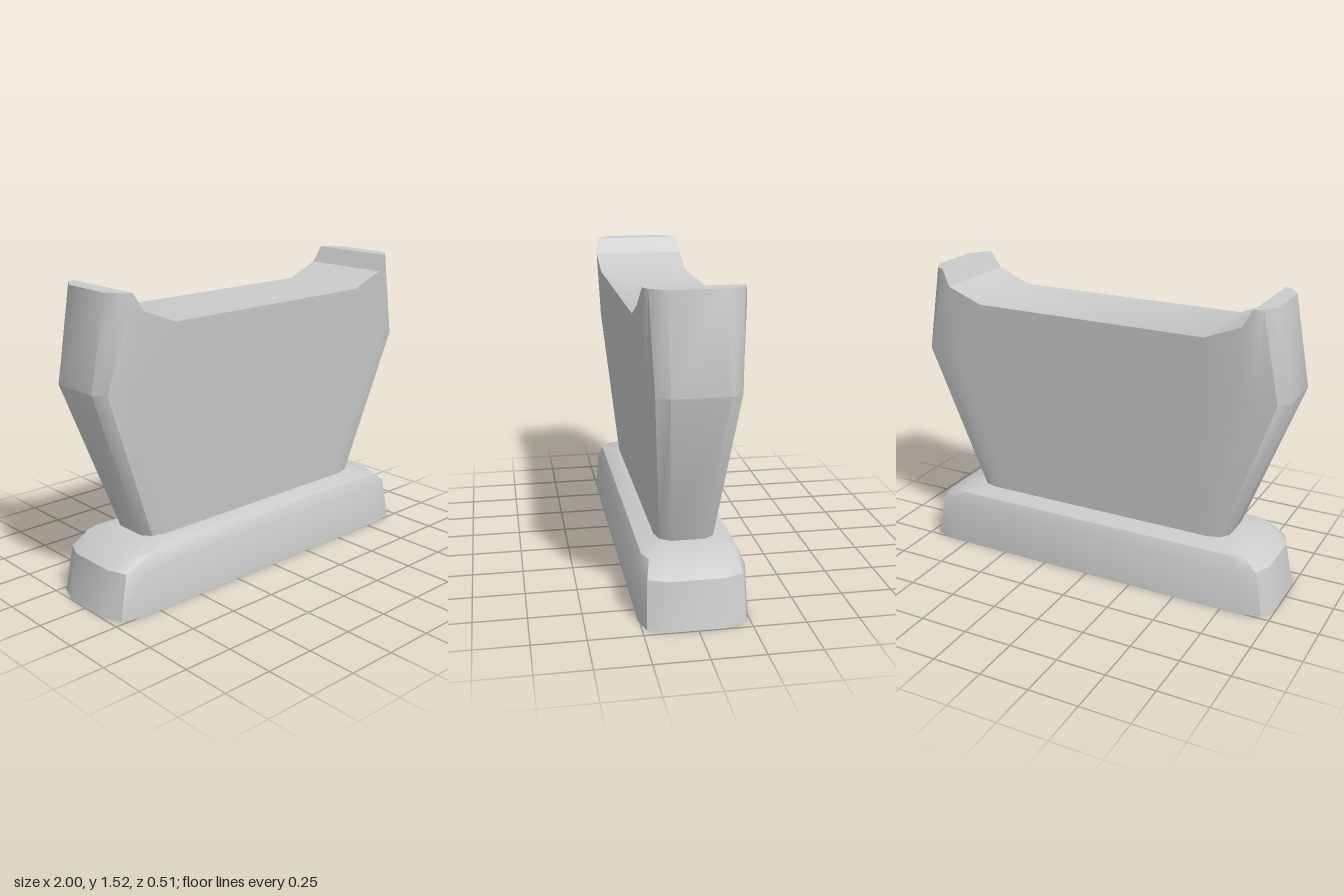
import * as THREE from 'three';
import { toCreasedNormals } from 'three/addons/utils/BufferGeometryUtils.js';

// Mirror a quarter outline of [x, y, z] points (from the +x side to the front) into a closed ring
function ring(quarter) {
  const front = [...quarter, ...quarter.slice().reverse().map(([x, y, z]) => [-x, y, z])];
  const back = front.slice().reverse().map(([x, y, z]) => [x, y, -z]);
  return [...front, ...back];
}

// Skin a stack of rings and close both ends with strips running front to back
function loft(quarters, crease) {
  const rings = quarters.map(ring);
  const n = rings[0].length;
  const pos = [];
  const quad = (a, b, c, d) => pos.push(...a, ...b, ...c, ...a, ...c, ...d);
  for (let k = 0; k < rings.length - 1; k++) {
    const lo = rings[k], hi = rings[k + 1];
    for (let i = 0; i < n; i++) {
      const j = (i + 1) % n;
      quad(lo[j], lo[i], hi[i], hi[j]);
    }
  }
  const bottom = rings[0], top = rings[rings.length - 1];
  for (let i = 0; i < n / 2 - 1; i++) {
    const p = n - 1 - i, q = p - 1;
    quad(top[i + 1], top[i], top[p], top[q]);
    quad(bottom[i], bottom[i + 1], bottom[q], bottom[p]);
  }
  const geo = new THREE.BufferGeometry();
  geo.setAttribute('position', new THREE.Float32BufferAttribute(pos, 3));
  return toCreasedNormals(geo, crease);
}

// Level ring from [x, z] points
const level = (y, pts) => pts.map(([x, z]) => [x, y, z]);

export function createModel() {
  const group = new THREE.Group();
  const material = new THREE.MeshStandardMaterial({ color: 0xcccccc });
  const add = (name, geometry) => {
    const mesh = new THREE.Mesh(geometry, material);
    mesh.name = name;
    group.add(mesh);
  };

  // Plinth with chamfered corners and a sloping shoulder
  add('base', loft([
    level(0, [[0.995, 0.13], [0.955, 0.228], [0.86, 0.257]]),
    level(0.225, [[0.95, 0.13], [0.912, 0.22], [0.82, 0.25]]),
    level(0.29, [[0.865, 0.12], [0.835, 0.2], [0.77, 0.226]]),
    level(0.32, [[0.74, 0.08], [0.7, 0.128], [0.62, 0.147]]),
  ], 0.68));

  // Flaring body with raised ends and a dipped top
  add('body', loft([
    level(0.32, [[0.72, 0.08], [0.685, 0.128], [0.62, 0.145], [0.55, 0.145], [0.42, 0.145]]),
    level(1.08, [[1, 0.13], [0.957, 0.19], [0.86, 0.213], [0.78, 0.215], [0.6, 0.215]]),
    [[0.917, 1.525, 0.13], [0.872, 1.525, 0.205], [0.83, 1.525, 0.225],
      [0.785, 1.443, 0.24], [0.605, 1.37, 0.236]],
  ], 0.68));

  return group;
}
